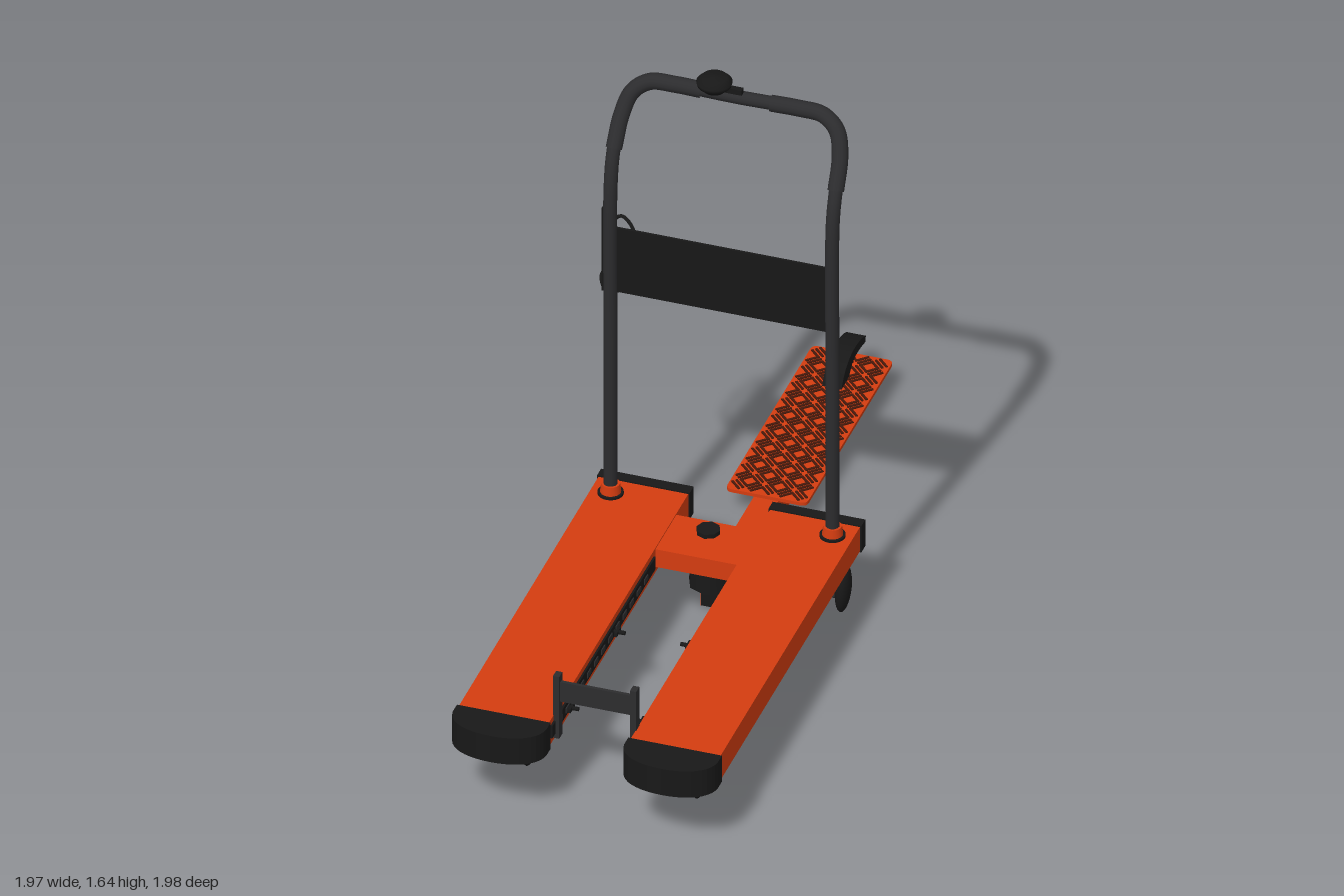
import * as THREE from 'three';
import { mergeGeometries } from 'three/addons/utils/BufferGeometryUtils.js';

const V = (x, y, z) => new THREE.Vector3(x, y, z);
const paint = (color) => new THREE.MeshStandardMaterial({ color });
const orange = paint(0xd43c10);
const black = paint(0x181818);
const steel = paint(0x2c2c2e);
const tread = paint(0x46180a);

export function createModel() {
  const root = new THREE.Group();
  // The trolley is built along z, then turned to stand diagonally.
  const cart = new THREE.Group();
  cart.name = 'platformTrolley';
  cart.rotation.y = -Math.PI / 4;
  root.add(cart);

  const add = (name, geometry, material, x = 0, y = 0, z = 0, parent = cart) => {
    const mesh = new THREE.Mesh(geometry, material);
    mesh.name = name;
    mesh.position.set(x, y, z);
    parent.add(mesh);
    return mesh;
  };
  // Box given by its limits on each axis
  const block = (name, mat, [x0, x1], [y0, y1], [z0, z1]) =>
    add(name, new THREE.BoxGeometry(x1 - x0, y1 - y0, z1 - z0), mat,
      (x0 + x1) / 2, (y0 + y1) / 2, (z0 + z1) / 2);
  const tube = (name, mat, points, radius, closed = false, steps = 48) =>
    add(name, new THREE.TubeGeometry(
      new THREE.CatmullRomCurve3(points, closed, 'centripetal'), steps, radius, 12, closed), mat);
  // Flat plate with a plan outline, extruded upwards
  const slab = (shape, depth) =>
    new THREE.ExtrudeGeometry(shape, { depth, bevelEnabled: false, curveSegments: 10 })
      .rotateX(-Math.PI / 2);

  // Decks with bumpers, inner rails and casters
  const bumper = new THREE.Shape();
  bumper.moveTo(-0.135, 0);
  bumper.lineTo(-0.135, -0.035);
  bumper.bezierCurveTo(-0.13, -0.085, -0.075, -0.115, 0, -0.115);
  bumper.bezierCurveTo(0.075, -0.115, 0.13, -0.085, 0.135, -0.035);
  bumper.lineTo(0.135, 0);
  const bumperGeo = slab(bumper, 0.086);

  const addCaster = (x, y, z) => {
    const caster = new THREE.Group();
    caster.name = 'caster';
    caster.position.set(x, y, z);
    cart.add(caster);
    add('casterPlate', new THREE.BoxGeometry(0.09, 0.014, 0.09), black, 0, 0.072, 0, caster);
    add('casterAxle', new THREE.CylinderGeometry(0.008, 0.008, 0.07, 10).rotateZ(Math.PI / 2),
      steel, 0, -0.03, 0, caster);
    for (const s of [-1, 1]) {
      const wheel = add('casterWheel', new THREE.SphereGeometry(1, 16, 12), black, s * 0.033, 0, 0, caster);
      wheel.scale.set(0.022, 0.079, 0.032);
      wheel.rotation.z = -s * 0.08;
    }
  };

  for (const s of [-1, 1]) {
    const span = (a, b) => [Math.min(s * a, s * b), Math.max(s * a, s * b)];
    block('deck', orange, span(0.118, 0.377), [0.2, 0.28], [-0.225, 0.96]);
    block('rearCap', black, span(0.114, 0.381), [0.197, 0.284], [-0.256, -0.222]);
    add('frontBumper', bumperGeo, black, s * 0.247, 0.198, 0.955);
    block('innerRail', black, span(0.112, 0.119), [0.222, 0.262], [0.07, 0.94]);
    for (let z = 0.14; z < 0.9; z += 0.06)
      block('railTooth', steel, span(0.109, 0.113), [0.234, 0.25], [z, z + 0.03]);
    // Clamp screws on the rails
    for (const z of [0.42, 0.81]) {
      add('clampScrew', new THREE.CylinderGeometry(0.006, 0.006, 0.04, 8).rotateZ(Math.PI / 2),
        black, s * 0.1, 0.242, z);
      add('clampWing', new THREE.BoxGeometry(0.008, 0.012, 0.036), black, s * 0.102, 0.242, z);
    }
    addCaster(s * 0.245, 0.127, 0.842);
    addCaster(s * 0.318, 0.115, -0.158);
    // Post sockets
    add('postSocket', new THREE.CylinderGeometry(0.026, 0.03, 0.034, 20), orange, s * 0.32, 0.297, -0.158);
    add('socketFlange', new THREE.CylinderGeometry(0.036, 0.036, 0.008, 20), black, s * 0.32, 0.283, -0.158);
    // Upright ends of the front stop
    block('stopUpright', steel, span(0.102, 0.12), [0.205, 0.408], [0.885, 0.912]);
  }
  block('stopPlate', steel, [-0.112, 0.112], [0.322, 0.386], [0.893, 0.903]);
  block('crossPlate', orange, [-0.122, 0.122], [0.218, 0.276], [-0.122, 0.055]);

  // Push handle: two posts bent back into one top bar
  const half = [
    V(0.32, 0.28, -0.158), V(0.32, 0.8, -0.158), V(0.32, 1.31, -0.16), V(0.32, 1.4, -0.185),
    V(0.315, 1.48, -0.235), V(0.295, 1.54, -0.268), V(0.25, 1.572, -0.284), V(0.18, 1.577, -0.286),
  ];
  const mirror = (p) => V(-p.x, p.y, p.z);
  tube('pushHandle', steel, [...half.map(mirror), V(0, 1.575, -0.286), ...half.slice().reverse()],
    0.0195, false, 140);
  for (const f of [mirror, (p) => p.clone()])
    tube('handGrip', steel, [...half.slice(3).map(f), f(V(0.1, 1.576, -0.286))], 0.0235);
  block('backPanel', black, [-0.325, 0.325], [0.95, 1.16], [-0.162, -0.155]);

  // Bell on the top bar
  const bell = [[0, 0], [0.03, 0], [0.03, 0.014], [0.047, 0.016], [0.05, 0.028], [0.036, 0.042], [0, 0.046]];
  add('bell', new THREE.LatheGeometry(bell.map(([r, y]) => new THREE.Vector2(r, y)), 24),
    black, -0.06, 1.594, -0.273);
  block('bellLever', black, [-0.03, 0.02], [1.594, 1.61], [-0.285, -0.268]);

  // Wire holder behind one post
  tube('wireHook', black, [
    V(-0.33, 0.935, -0.17), V(-0.375, 0.932, -0.24), V(-0.375, 0.935, -0.295), V(-0.372, 1.0, -0.295),
    V(-0.36, 1.08, -0.29), V(-0.33, 1.11, -0.285), V(-0.295, 1.08, -0.275), V(-0.285, 1.0, -0.26),
    V(-0.285, 0.935, -0.29), V(-0.285, 0.932, -0.22),
  ], 0.005, true, 72);
  block('holderBar', black, [-0.353, -0.337], [0.93, 1.2], [-0.188, -0.176]);

  // Lift linkage under the cross plate
  const cx = -0.008;
  block('liftBracket', orange, [cx - 0.033, cx + 0.033], [0.06, 0.225], [-0.17, -0.12]);
  add('liftPivot', new THREE.CylinderGeometry(0.014, 0.014, 0.12, 16).rotateZ(Math.PI / 2),
    black, cx, 0.195, -0.146);
  for (const s of [-1, 1])
    add('pivotNut', new THREE.CylinderGeometry(0.022, 0.022, 0.014, 6).rotateZ(Math.PI / 2),
      black, cx + s * 0.045, 0.195, -0.146);
  add('swivelHousing', new THREE.CylinderGeometry(0.06, 0.066, 0.066, 8), black, 0.005, 0.153, -0.062);
  add('swivelStem', new THREE.CylinderGeometry(0.02, 0.02, 0.1, 12), black, cx, 0.225, -0.07);
  add('swivelKnob', new THREE.CylinderGeometry(0.034, 0.034, 0.014, 8), black, cx, 0.282, -0.07);

  // Rear arm
  block('arm', orange, [cx - 0.035, cx + 0.035], [0.003, 0.074], [-1.25, -0.108]);
  block('armEnd', black, [cx - 0.033, cx + 0.033], [0.006, 0.072], [-0.109, -0.104]);
  for (const [z, y, r] of [[-1.13, 0.034, 0.009], [-1.2, 0.042, 0.014], [-1.235, 0.034, 0.009]])
    add('armPin', new THREE.CylinderGeometry(r, r, 0.076, 14).rotateZ(Math.PI / 2), black, cx, y, z);

  // Foot board with rounded corners
  const w = 0.117, l = 0.367, r = 0.02, mid = -0.922;
  const board = new THREE.Shape();
  board.moveTo(-w + r, -l);
  board.lineTo(w - r, -l);
  board.quadraticCurveTo(w, -l, w, -l + r);
  board.lineTo(w, l - r);
  board.quadraticCurveTo(w, l, w - r, l);
  board.lineTo(-w + r, l);
  board.quadraticCurveTo(-w, l, -w, l - r);
  board.lineTo(-w, -l + r);
  board.quadraticCurveTo(-w, -l, -w + r, -l);
  add('footBoard', slab(board, 0.01), orange, cx, 0.074, mid);

  // Raised tread: bundles of short bars in alternating diagonals
  const bars = [];
  for (let i = -2; i <= 2; i++) {
    for (let j = -8; j <= 8; j++) {
      const a = (i + j) % 2 === 0 ? Math.PI / 4 : -Math.PI / 4;
      for (const k of [-1, 0, 1]) {
        bars.push(new THREE.BoxGeometry(0.0065, 0.004, 0.042)
          .translate(k * 0.0125, 0, 0).rotateY(a).translate(i * 0.043, 0, j * 0.042));
      }
    }
  }
  add('treadPattern', mergeGeometries(bars), tread, cx, 0.0855, mid);

  // Curved release lever at the end of the board
  const lever = new THREE.Shape();
  lever.moveTo(1.11, 0.084);
  lever.quadraticCurveTo(1.14, 0.145, 1.215, 0.15);
  lever.quadraticCurveTo(1.275, 0.15, 1.315, 0.13);
  lever.lineTo(1.31, 0.112);
  lever.quadraticCurveTo(1.24, 0.128, 1.2, 0.112);
  lever.lineTo(1.17, 0.084);
  add('releaseLever', new THREE.ExtrudeGeometry(lever, { depth: 0.056, bevelEnabled: false })
    .translate(0, 0, -0.028).rotateY(Math.PI / 2), black, cx, 0, 0);

  return root;
}
